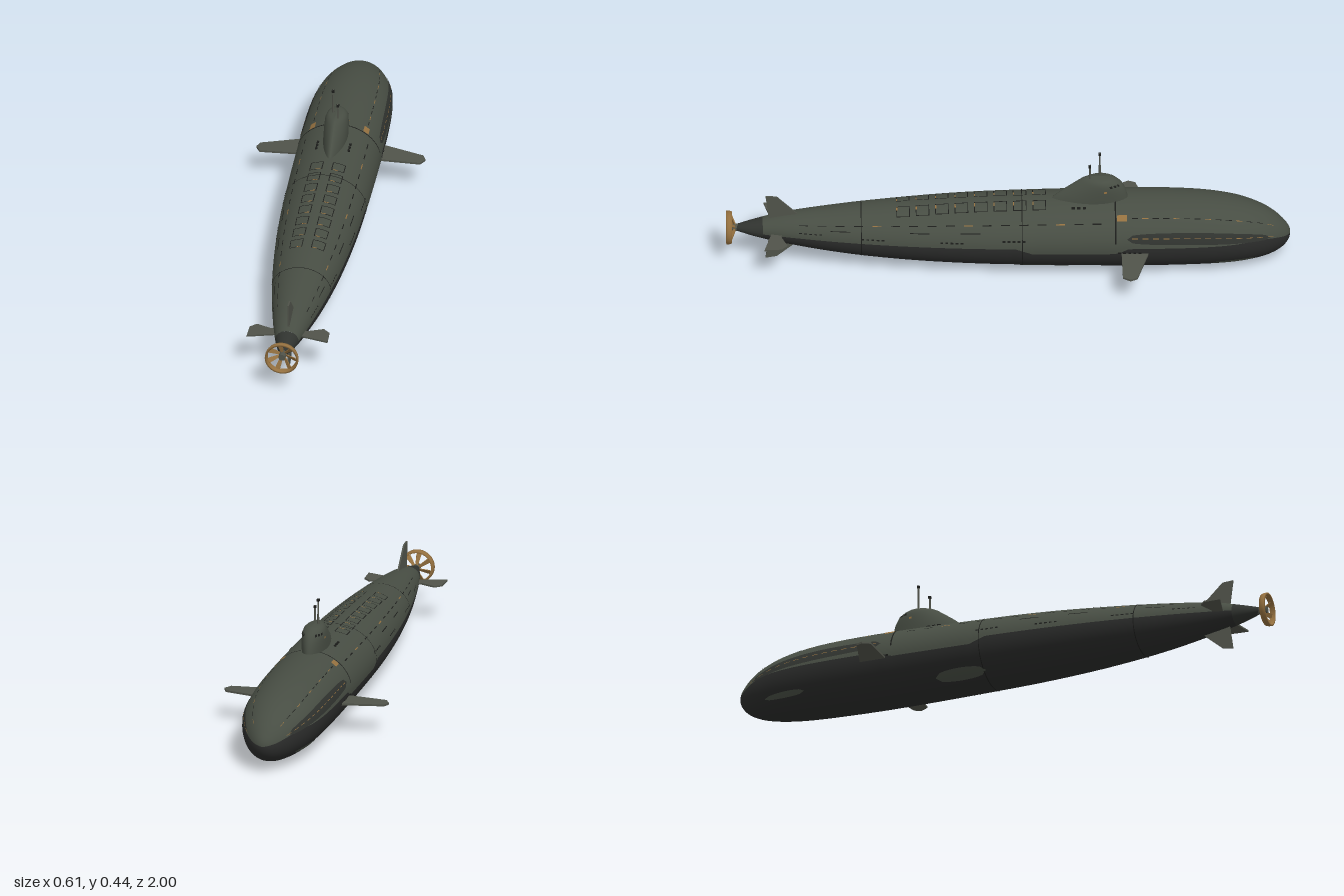
import * as THREE from 'three';

const mat = (name, color) => Object.assign(new THREE.MeshStandardMaterial({ color }), { name });

// Hull stations: z, half width, bottom y, top y (bow at -z, propeller at +z)
const STATIONS = [
  [-1, 0, 0.105, 0.105], [-0.98, 0.042, 0.06, 0.147], [-0.95, 0.068, 0.039, 0.176], [-0.9, 0.097, 0.022, 0.207],
  [-0.8, 0.13, 0.009, 0.24], [-0.65, 0.146, 0.003, 0.26], [-0.4, 0.15, 0.001, 0.266], [0, 0.146, 0.01, 0.258],
  [0.2, 0.137, 0.018, 0.25], [0.4, 0.12, 0.032, 0.236], [0.6, 0.094, 0.054, 0.219], [0.8, 0.058, 0.088, 0.195],
  [0.9, 0.034, 0.112, 0.171], [0.96, 0.014, 0.13, 0.155],
];
const KNOTS = STATIONS.map((s) => Math.sqrt(s[0] + 1));

// Smooth interpolation of the stations; the square root keeps the bow round
function section(z) {
  const s = Math.sqrt(Math.max(0, z + 1));
  const n = STATIONS.length;
  let i = 0;
  while (i < n - 2 && s > KNOTS[i + 1]) i++;
  const h = KNOTS[i + 1] - KNOTS[i], t = (s - KNOTS[i]) / h;
  return [1, 2, 3].map((k) => {
    const slope = (j) => {
      const a = Math.max(0, j - 1), b = Math.min(n - 1, j + 1);
      return (STATIONS[b][k] - STATIONS[a][k]) / (KNOTS[b] - KNOTS[a]);
    };
    const p = STATIONS[i][k], q = STATIONS[i + 1][k], t2 = t * t, t3 = t2 * t;
    return p * (2 * t3 - 3 * t2 + 1) + q * (3 * t2 - 2 * t3) + h * (slope(i) * (t3 - 2 * t2 + t) + slope(i + 1) * (t3 - t2));
  });
}

// Point on the hull: angle 0 is the model's left side, PI/2 the deck
function hullPoint(z, a, off = 0) {
  const [w, lo, hi] = section(z);
  return [(w + off) * Math.cos(a), (lo + hi) / 2 + ((hi - lo) / 2 + off) * Math.sin(a), z];
}

// Height of the paint line as an angle
function paintAngle(z) {
  const [, lo, hi] = section(z);
  const step = THREE.MathUtils.smoothstep(z, -0.43, -0.38) * (1 - THREE.MathUtils.smoothstep(z, -0.08, -0.03));
  const y = 0.14 - 0.022 * step;
  return Math.asin(THREE.MathUtils.clamp((y - (lo + hi) / 2) / Math.max(0.001, (hi - lo) / 2), -0.25, 0.25));
}

// Grid surface from fn(u, v)
function surface(fn, nu, nv) {
  const pos = [], idx = [];
  for (let j = 0; j <= nv; j++) for (let i = 0; i <= nu; i++) pos.push(...fn(i / nu, j / nv));
  for (let j = 0; j < nv; j++) for (let i = 0; i < nu; i++) {
    const a = j * (nu + 1) + i, c = a + nu + 1;
    idx.push(a, a + 1, c, a + 1, c + 1, c);
  }
  const g = new THREE.BufferGeometry();
  g.setAttribute('position', new THREE.Float32BufferAttribute(pos, 3));
  g.setIndex(idx);
  g.computeVertexNormals();
  return g;
}

export function createModel() {
  const green = mat('hullGreen', 0x474d43), black = mat('bottomBlack', 0x2a2b2a), dark = mat('seamDark', 0x1b1c1a);
  const panel = mat('panelGrey', 0x30332f), brass = mat('brass', 0x94703f), steel = mat('finGrey', 0x50534a);
  const root = new THREE.Group();
  const add = (name, geometry, material, parent = root) => {
    const m = new THREE.Mesh(geometry, material);
    m.name = name;
    parent.add(m);
    return m;
  };
  const lerp = THREE.MathUtils.lerp;
  const PI = Math.PI;

  // Hull, split along the paint line
  const hullZ = (v, z1) => (v * Math.sqrt(z1 + 1)) ** 2 - 1;
  add('upperHull', surface((u, v) => {
    const z = hullZ(v, 0.87), p = paintAngle(z);
    return hullPoint(z, lerp(p, PI - p, u));
  }, 40, 90), green);
  add('lowerHull', surface((u, v) => {
    const z = hullZ(v, 0.87), p = paintAngle(z);
    return hullPoint(z, lerp(-PI - p, p, u));
  }, 40, 90), black);
  add('tailCone', surface((u, v) => hullPoint(lerp(0.87, 0.962, v), u * 2 * PI), 40, 8), panel);

  // Thin plates that follow the hull; round > 0 tapers the ends
  const patch = (name, z0, z1, a0, a1, m, round = 0, off = 0.0015) => add(name, surface((u, v) => {
    const taper = round ? Math.pow(Math.max(0, 1 - (2 * v - 1) ** 2), round) : 1;
    const a = (a0 + a1) / 2 + (u - 0.5) * (a1 - a0) * taper;
    return hullPoint(lerp(z0, z1, v), a, off);
  }, Math.max(2, Math.ceil((a1 - a0) * 10)), Math.max(2, Math.ceil((z1 - z0) * 50))), m);
  const bothSides = (name, z0, z1, a0, a1, ...rest) => {
    patch(name, z0, z1, a0, a1, ...rest);
    patch(name, z0, z1, PI - a1, PI - a0, ...rest);
  };

  // Sonar panels and belly patches
  bothSides('sonarPanel', -0.93, -0.42, 0.16, 0.5, panel, 0.25);
  bothSides('bowPatch', -0.88, -0.72, -0.74, -0.55, green, 0.4);
  bothSides('bellyPatch', -0.23, -0.04, -1.1, -0.72, green, 0.4);

  // Ring seams
  patch('bowSeam', -0.382, -0.377, 0.2, PI - 0.2, dark);
  for (const z of [-0.05, 0.52]) patch('ringSeam', z, z + 0.003, 0, 2 * PI, dark);

  // Dashed lines along the shoulders
  for (let i = 0; i < 14; i++) {
    const z = -0.94 + i * 0.037;
    bothSides('brassDash', z, z + 0.022, 0.335, 0.355, brass, 0, 0.002);
    bothSides('shoulderDash', z, z + 0.022, 0.86, 0.88, i % 3 ? dark : brass);
  }
  for (let i = 0; i < 17; i++) {
    const z = -0.33 + i * 0.065;
    bothSides('upperSlot', z, z + 0.032, 0.72, 0.75, i % 5 === 2 ? brass : dark);
  }
  bothSides('brassPlate', -0.42, -0.385, 0.8, 0.96, brass);

  // Groups of flood slots on the flanks
  for (const [z, a] of [[-0.47, -0.1], [-0.06, 0.26], [0.16, 0.2], [0.44, 0.22], [0.66, 0.3]])
    for (let i = 0; i < 5; i++) bothSides('floodSlot', z + i * 0.018, z + i * 0.018 + 0.01, a, a + 0.05, dark);
  for (const z of [0.1, 0.28, 0.56]) bothSides('longSlot', z, z + 0.07, 0.5, 0.53, dark);

  // Deck hatches in two columns, each an outline with a brass hinge
  for (let i = 0; i < 8; i++) {
    const z = -0.11 + i * 0.069, half = 0.024;
    const w = section(z)[0], inner = Math.acos(0.016 / w), outer = Math.acos(0.062 / w), t = 0.022;
    bothSides('hatchEdge', z - half, z - half + 0.003, outer, inner, dark);
    bothSides('hatchEdge', z + half - 0.003, z + half, outer, inner, dark);
    bothSides('hatchEdge', z - half, z + half, inner - t, inner, dark);
    bothSides('hatchEdge', z - half, z + half, outer, outer + t, dark);
    bothSides('hatchHinge', z + half - 0.004, z + half, inner - 0.16, inner - 0.04, brass, 0, 0.002);
  }

  // Sail: levels of y, front z, back z, half width
  const levels = [[0.24, -0.426, -0.14, 0.041], [0.268, -0.424, -0.16, 0.042], [0.3, -0.416, -0.2, 0.042],
    [0.325, -0.403, -0.235, 0.04], [0.34, -0.385, -0.256, 0.035], [0.349, -0.368, -0.275, 0.025], [0.353, -0.34, -0.3, 0.0]];
  const sailPoint = (a, row, off = 0) => {
    const i = Math.min(levels.length - 2, Math.floor(row)), f = row - i;
    const [y, zf, zb, w] = levels[i].map((p, k) => lerp(p, levels[i + 1][k], f));
    const c = Math.cos(a);
    return [(w + off) * Math.sin(a) * (1 - 0.22 * c - 0.2 * c * c), y, (zf + zb) / 2 + ((zb - zf) / 2 + off) * c];
  };
  add('sail', surface((u, v) => sailPoint(u * 2 * PI, v * 6), 40, 12), green);
  for (const side of [1, -1]) {
    for (let i = 0; i < 3; i++) {
      const a = side * (2.15 + i * 0.22);
      add('sailWindow', surface((u, v) => sailPoint(a + (u - 0.5) * 0.13, 2.9 + v * 0.45, 0.0015), 2, 2), dark);
    }
    add('sailMark', surface((u, v) => sailPoint(side * 1.9 + (u - 0.5) * 0.1, 2.2 + v * 0.3, 0.0015), 2, 2), brass);
    for (let i = 0; i < 3; i++) {
      const fitting = add('deckFitting', new THREE.BoxGeometry(0.008, 0.006, 0.012), dark);
      fitting.position.set(side * 0.058, hullPoint(-0.25, Math.acos(0.058 / 0.149))[1], -0.27 + i * 0.02);
    }
  }

  // Masts with heads
  for (const [x, z, top] of [[-0.012, -0.325, 0.443], [0.01, -0.29, 0.406]]) {
    add('mast', new THREE.CylinderGeometry(0.003, 0.0042, top - 0.33, 12), steel).position.set(x, (top + 0.33) / 2, z);
    add('mastHead', new THREE.BoxGeometry(0.009, 0.009, 0.009), dark).position.set(x, top - 0.0045, z);
  }

  // Fins cut from flat shapes
  const plate = (points, depth) => new THREE.ExtrudeGeometry(
    new THREE.Shape(points.map((p) => new THREE.Vector2(...p))), { depth, bevelEnabled: false }).translate(0, 0, -depth / 2);
  const upright = (name, pts) => add(name, plate(pts, 0.006).rotateY(-PI / 2), steel).position.x = 0.003;
  upright('upperRudder', [[0.73, 0.18], [0.75, 0.205], [0.82, 0.275], [0.86, 0.278], [0.845, 0.16]]);
  upright('lowerRudder', [[0.73, 0.1], [0.75, 0.08], [0.82, 0.02], [0.86, 0.013], [0.845, 0.12]]);
  for (const side of [1, -1]) {
    const flat = (pts, depth) => plate(pts.map(([x, z]) => [side * x, z]), depth).rotateX(PI / 2);
    add('sternPlane', flat([[0.02, 0.79], [0.065, 0.805], [0.12, 0.783], [0.143, 0.805], [0.145, 0.865], [0.03, 0.835]], 0.006), steel)
      .position.y = 0.142;
    const bowPlane = add('bowPlane', flat([[-0.02, -0.5], [0, -0.497], [0.147, -0.455], [0.158, -0.43], [0.142, -0.403], [-0.02, -0.4]], 0.007), steel);
    bowPlane.position.set(side * 0.145, 0.117, 0);
    bowPlane.rotation.z = -side * 0.03;
  }

  // Propeller: hub, raked blades and outer ring
  const prop = new THREE.Group();
  prop.name = 'propeller';
  prop.position.set(0, 0.142, 0);
  root.add(prop);
  add('hub', new THREE.CylinderGeometry(0.012, 0.014, 0.04, 24).rotateX(PI / 2), steel, prop).position.z = 0.97;
  for (let i = 0; i < 7; i++) {
    const spoke = new THREE.Group();
    spoke.name = 'bladeSpoke';
    spoke.rotation.z = i * 2 * PI / 7 + 0.2;
    prop.add(spoke);
    const blade = add('blade', plate([[-0.004, 0], [0.005, 0], [0.013, 0.038], [0.009, 0.046], [-0.005, 0.044]], 0.003), brass, spoke);
    blade.position.set(0, 0.01, 0.968);
    blade.rotation.set(0.48, 0.45, 0);
  }
  const rim = [[0.051, 0.981], [0.057, 0.979], [0.06, 0.988], [0.06, 0.999], [0.053, 1], [0.051, 0.981]];
  add('ring', new THREE.LatheGeometry(rim.map(([r, z]) => new THREE.Vector2(r, z)), 48).rotateX(PI / 2), brass, prop);
  return root;
}
